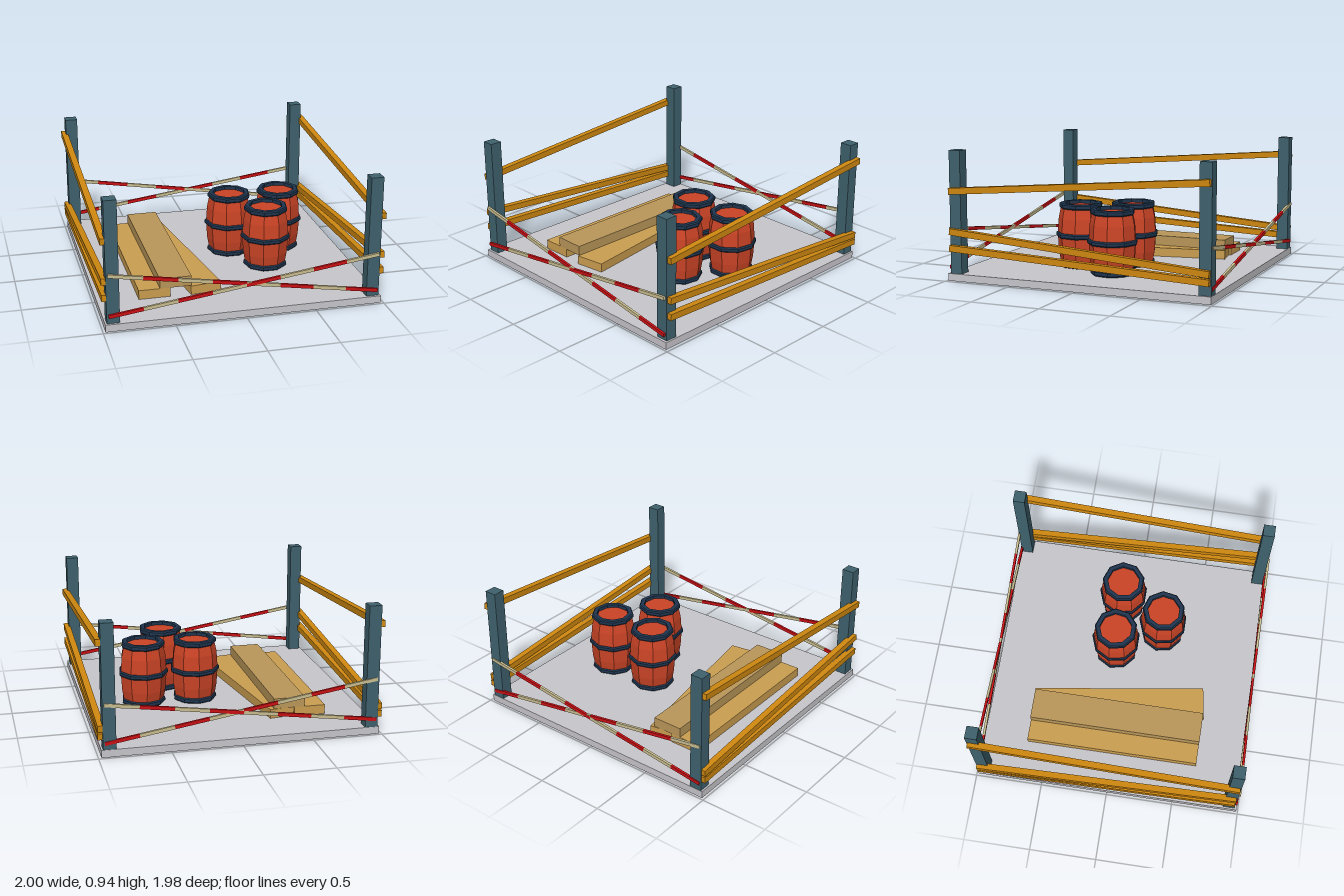
import * as THREE from 'three';

const mat = (name, color) => {
  const m = new THREE.MeshStandardMaterial({ color });
  m.name = name;
  m.flatShading = true;
  return m;
};

export function createModel() {
  const model = new THREE.Group();
  model.name = 'storageYard';
  const concrete = mat('concrete grey', 0xc8c6cb);
  const steel = mat('post blue grey', 0x3f626e);
  const orange = mat('rail orange', 0xcf8810);
  const red = mat('tape red', 0xcc1014);
  const cream = mat('tape cream', 0xcabe90);
  const rust = mat('barrel red', 0xcc4426);
  const navy = mat('hoop navy', 0x1f3650);
  const wood = mat('light wood', 0xcb9e50);
  const darkWood = mat('dull wood', 0xba9759);

  const add = (parent, name, geometry, material, x = 0, y = 0, z = 0) => {
    const mesh = new THREE.Mesh(geometry, material);
    mesh.name = name;
    mesh.position.set(x, y, z);
    parent.add(mesh);
    return mesh;
  };
  const box = (w, h, d) => new THREE.BoxGeometry(w, h, d);

  // Floor slab
  add(model, 'floor', box(1.962, 0.053, 1.975), concrete, -0.002, 0.0285, 0);

  // Corner posts, reaching through the slab
  for (const x of [-0.925, 0.921])
    for (const z of [-0.941, 0.927])
      add(model, 'post', box(0.09, 0.936, 0.087), steel, x, 0.468, z);

  // Sloping side rails: height at the front end, height at the back end
  const zFront = 0.962, zBack = -0.978;
  for (const x of [-0.977, 0.977])
    for (const [yFront, yBack] of [[0.647, 0.803], [0.36, 0.203], [0.24, 0.148]]) {
      const rise = yBack - yFront, run = zFront - zBack;
      const rail = add(model, 'sideRail', box(0.046, 0.046, Math.hypot(rise, run)), orange,
        x, (yFront + yBack) / 2, (zFront + zBack) / 2);
      rail.rotation.x = Math.atan2(rise, run);
    }

  // Crossed striped barriers at front and back
  const stripedBar = (y0, y1, z, firstRed) => {
    const bar = new THREE.Group();
    bar.name = 'stripedBarrier';
    const length = Math.hypot(1.912, y1 - y0), step = length / 8;
    for (let i = 0; i < 8; i++)
      add(bar, 'stripe', box(step, 0.025, 0.018), (i % 2 === 0) === firstRed ? red : cream,
        (i - 3.5) * step);
    bar.position.set(-0.002, (y0 + y1) / 2, z);
    bar.rotation.z = Math.atan2(y1 - y0, 1.912);
    model.add(bar);
  };
  for (const z of [0.978, -0.981]) {
    stripedBar(0.408, 0.098, z, false);
    stripedBar(0.11, 0.373, z + Math.sign(z) * 0.001, true);
  }

  // Nine-sided barrels
  const lathe = (points) => new THREE.LatheGeometry(
    points.map(([r, y]) => new THREE.Vector2(r, y)), 9, Math.PI);
  const hoop = (y0, y1, rIn, rEdge, rOut) => {
    const b = 0.009;
    return lathe([[rIn, y0], [rEdge, y0], [rOut, y0 + b], [rOut, y1 - b], [rEdge, y1], [rIn, y1], [rIn, y0]]);
  };
  const bodyGeo = lathe([[0, 0.006], [0.147, 0.006], [0.165, 0.11], [0.173, 0.235],
    [0.165, 0.36], [0.147, 0.445], [0, 0.445]]);
  const rimGeo = hoop(0.43, 0.47, 0.122, 0.153, 0.161);
  const midGeo = hoop(0.217, 0.255, 0.16, 0.176, 0.184);
  const footGeo = hoop(0, 0.04, 0.122, 0.153, 0.161);
  for (const [x, z] of [[0.15, -0.1], [0.537, -0.1], [0.345, 0.236]]) {
    const barrel = new THREE.Group();
    barrel.name = 'barrel';
    add(barrel, 'barrelBody', bodyGeo, rust);
    add(barrel, 'topHoop', rimGeo, navy);
    add(barrel, 'middleHoop', midGeo, navy);
    add(barrel, 'bottomHoop', footGeo, navy);
    barrel.position.set(x, 0.055, z);
    model.add(barrel);
  }

  // Stack of three planks
  add(model, 'lowerPlank', box(0.228, 0.067, 1.295), wood, -0.577, 0.0885, -0.006);
  add(model, 'angledPlank', box(0.228, 0.066, 1.295), wood, -0.299, 0.088, -0.007).rotation.y = 0.148;
  add(model, 'upperPlank', box(0.228, 0.074, 1.295), darkWood, -0.425, 0.159, -0.006);

  return model;
}
